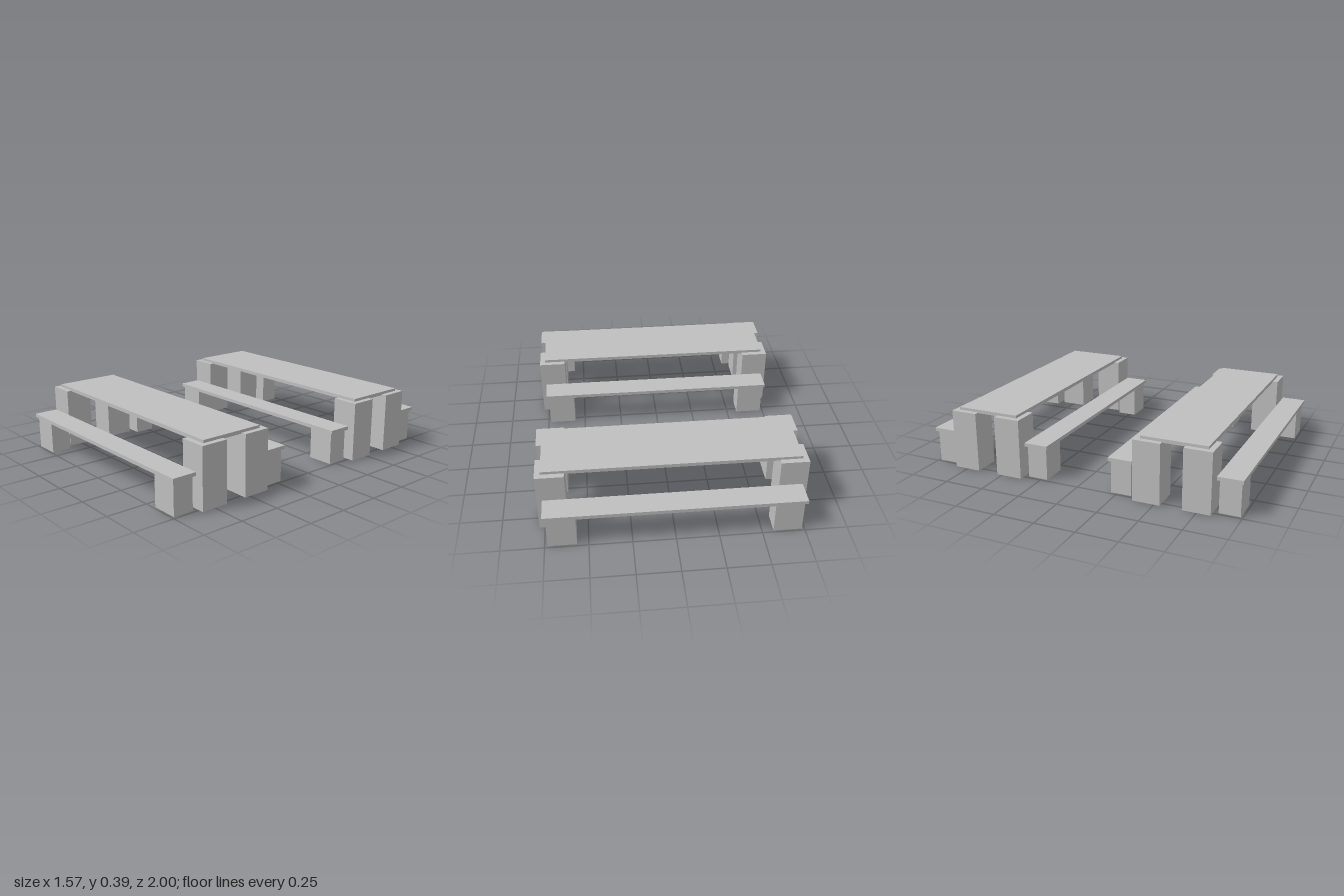
import * as THREE from 'three';

export function createModel() {
  const model = new THREE.Group();
  model.name = 'picnicTables';
  const grey = new THREE.MeshStandardMaterial({ color: 0xbfbfbf });
  grey.name = 'plain grey';

  const box = (parent, name, w, y0, y1, d, x, z) => {
    const mesh = new THREE.Mesh(new THREE.BoxGeometry(w, y1 - y0, d), grey);
    mesh.name = name;
    mesh.position.set(x, (y0 + y1) / 2, z);
    parent.add(mesh);
  };

  // One table with a bench along each long side
  const makeSet = (name, z) => {
    const set = new THREE.Group();
    set.name = name;
    set.position.z = z;
    box(set, 'tableTop', 1.5, 0.365, 0.387, 0.4, 0, 0);
    for (const side of [1, -1]) {
      box(set, 'benchSeat', 1.5, 0.2, 0.222, 0.15, 0, side * 0.325);
      for (const end of [1, -1]) {
        // Table legs stick out past the corners of the top
        box(set, 'tableLeg', 0.167, 0, 0.37, 0.167, end * 0.7, side * 0.15);
        box(set, 'benchLeg', 0.167, 0, 0.2, 0.125, end * 0.65, side * 0.325);
      }
    }
    model.add(set);
  };

  makeSet('frontTableSet', 0.6);
  makeSet('backTableSet', -0.6);
  return model;
}
